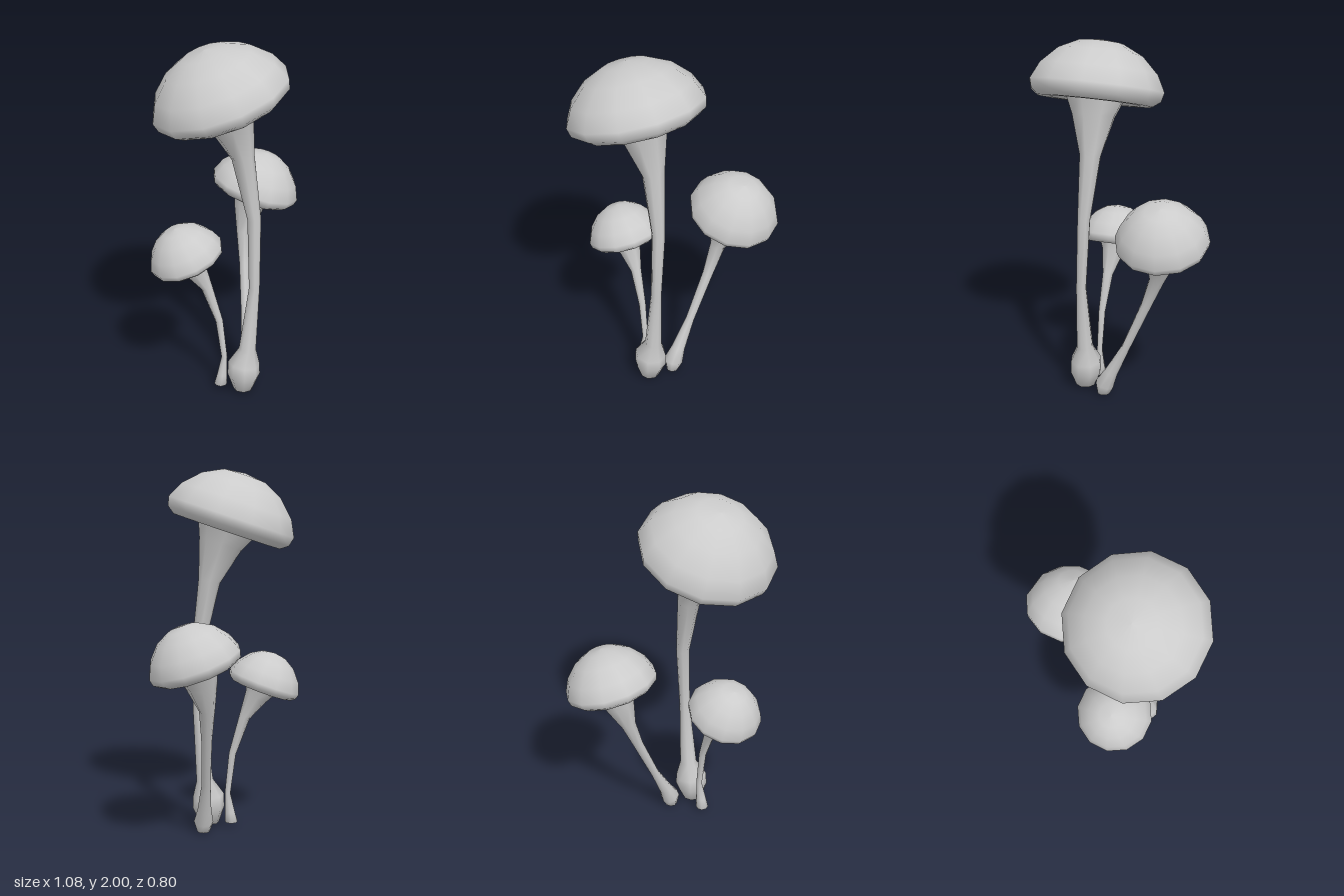
import * as THREE from 'three';
import { mergeVertices } from 'three/addons/utils/BufferGeometryUtils.js';

const UP = new THREE.Vector3(0, 1, 0);
const material = new THREE.MeshStandardMaterial({ color: 0xcccccc });

// Cap profile from the crown, around the rolled rim, to the hollow underside
const DOME = [[0, 0.26], [0.12, 0.245], [0.23, 0.19], [0.32, 0.1], [0.365, 0.01]];
const UNDERSIDE = [[0.352, -0.04], [0.31, -0.07], [0.25, -0.07], [0.2, -0.05], [0.12, -0.04], [0, -0.03]];

function makeCap({ centre, axis, radius, height }) {
  const s = radius / 0.365;
  const points = [
    ...DOME.map(([r, y]) => new THREE.Vector2(r * s, y * height / 0.26)),
    ...UNDERSIDE.map(([r, y]) => new THREE.Vector2(r * s, y * s)),
  ].reverse();
  const cap = new THREE.Mesh(new THREE.LatheGeometry(points, 12), material);
  cap.position.set(...centre);
  cap.quaternion.setFromUnitVectors(UP, new THREE.Vector3(...axis).normalize());
  cap.name = 'cap';
  return cap;
}

// Stem: rings [x, y, z, radius] set square to the path; the last one sits under the cap
function makeStem({ rings, centre, axis, radius }) {
  const sides = 8;
  const capAxis = new THREE.Vector3(...axis).normalize();
  const centres = rings.map(([x, y, z]) => new THREE.Vector3(x, y, z));
  const radii = rings.map((ring) => ring[3]);
  centres.push(new THREE.Vector3(...centre).addScaledVector(capAxis, -0.025 * radius / 0.365));
  radii.push(radius * 0.48);

  const last = centres.length - 1;
  const positions = [];
  const index = [];
  centres.forEach((c, i) => {
    const direction = i === last ? capAxis.clone()
      : i === 0 ? UP.clone()
        : centres[i + 1].clone().sub(centres[i - 1]).normalize();
    const turn = new THREE.Quaternion().setFromUnitVectors(UP, direction);
    for (let k = 0; k < sides; k++) {
      const a = (k / sides) * Math.PI * 2;
      const p = new THREE.Vector3(Math.sin(a), 0, Math.cos(a))
        .multiplyScalar(radii[i]).applyQuaternion(turn).add(c);
      positions.push(p.x, p.y, p.z);
      if (i < last) {
        const n = (k + 1) % sides;
        const v0 = i * sides + k, v1 = i * sides + n;
        index.push(v0, v1, v1 + sides, v0, v1 + sides, v0 + sides);
      }
    }
  });
  // Close the foot
  const foot = positions.length / 3;
  positions.push(centres[0].x, centres[0].y - 0.005, centres[0].z);
  for (let k = 0; k < sides; k++) index.push(foot, (k + 1) % sides, k);

  let geometry = new THREE.BufferGeometry();
  geometry.setAttribute('position', new THREE.Float32BufferAttribute(positions, 3));
  geometry.setIndex(index);
  geometry = mergeVertices(geometry);
  geometry.computeVertexNormals();
  const stem = new THREE.Mesh(geometry, material);
  stem.name = 'stem';
  return stem;
}

const MUSHROOMS = [
  {
    name: 'tallMushroom',
    centre: [-0.19, 1.735, 0.045], axis: [-0.25, 0.95, -0.2], radius: 0.365, height: 0.255,
    rings: [
      [-0.125, 0.02, 0.14, 0.055], [-0.12, 0.11, 0.14, 0.09], [-0.118, 0.18, 0.14, 0.088],
      [-0.1, 0.27, 0.15, 0.047], [-0.075, 0.65, 0.175, 0.029], [-0.062, 1.05, 0.16, 0.036],
      [-0.095, 1.4, 0.11, 0.06], [-0.145, 1.6, 0.075, 0.12],
    ],
  },
  {
    name: 'middleMushroom',
    centre: [0.295, 1.03, -0.155], axis: [0.27, 0.94, 0.18], radius: 0.25, height: 0.205,
    rings: [
      [-0.005, 0.01, 0.07, 0.035], [0, 0.07, 0.065, 0.054], [0.025, 0.15, 0.035, 0.038],
      [0.08, 0.32, -0.03, 0.024], [0.165, 0.6, -0.115, 0.029], [0.21, 0.77, -0.16, 0.042],
      [0.255, 0.91, -0.165, 0.083],
    ],
  },
  {
    name: 'smallMushroom',
    centre: [-0.305, 0.835, -0.105], axis: [-0.28, 0.93, -0.2], radius: 0.205, height: 0.175,
    rings: [
      [-0.19, 0.03, 0.03, 0.036], [-0.183, 0.09, 0.035, 0.028], [-0.17, 0.2, 0.04, 0.016],
      [-0.187, 0.43, 0.02, 0.02], [-0.23, 0.64, -0.03, 0.031], [-0.275, 0.755, -0.075, 0.065],
    ],
  },
];

export function createModel() {
  const model = new THREE.Group();
  model.name = 'mushroomCluster';
  for (const spec of MUSHROOMS) {
    const mushroom = new THREE.Group();
    mushroom.name = spec.name;
    mushroom.add(makeStem(spec), makeCap(spec));
    model.add(mushroom);
  }
  return model;
}
